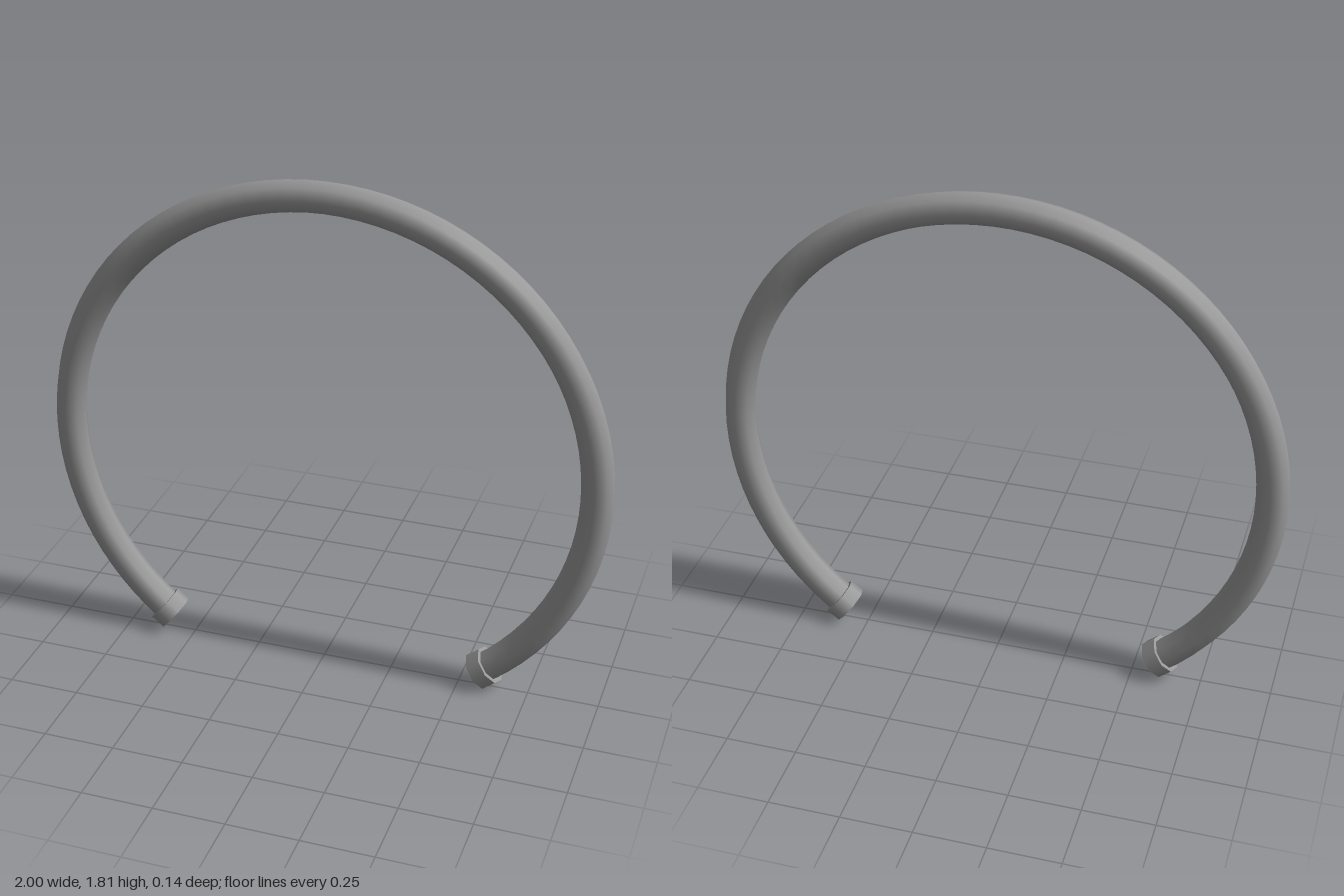
import * as THREE from 'three';

const RING_RADIUS = 0.944;
const TUBE_RADIUS = 0.056;
const CENTER_Y = 0.809;
const START = THREE.MathUtils.degToRad(-51.4); // end on the +x side
const END = THREE.MathUtils.degToRad(230.8);   // end on the -x side

export function createModel() {
  const model = new THREE.Group();
  const material = new THREE.MeshStandardMaterial({ color: 0x999999 });

  // Open ring, eight-sided in section with smooth shading
  const ring = new THREE.Mesh(
    new THREE.TorusGeometry(RING_RADIUS, TUBE_RADIUS, 8, 72, END - START), material);
  ring.name = 'openRing';
  ring.rotation.z = START;
  ring.position.y = CENTER_Y;
  model.add(ring);

  // Short collar capping each end, its axis along the ring's tangent
  const capGeometry = new THREE.CylinderGeometry(0.07, 0.07, 0.055, 8);
  for (const [name, angle] of [['leftEndCap', START], ['rightEndCap', END]]) {
    const cap = new THREE.Mesh(capGeometry, material);
    cap.name = name;
    cap.position.set(
      RING_RADIUS * Math.cos(angle), CENTER_Y + RING_RADIUS * Math.sin(angle), 0);
    cap.rotation.z = angle;
    model.add(cap);
  }
  return model;
}
